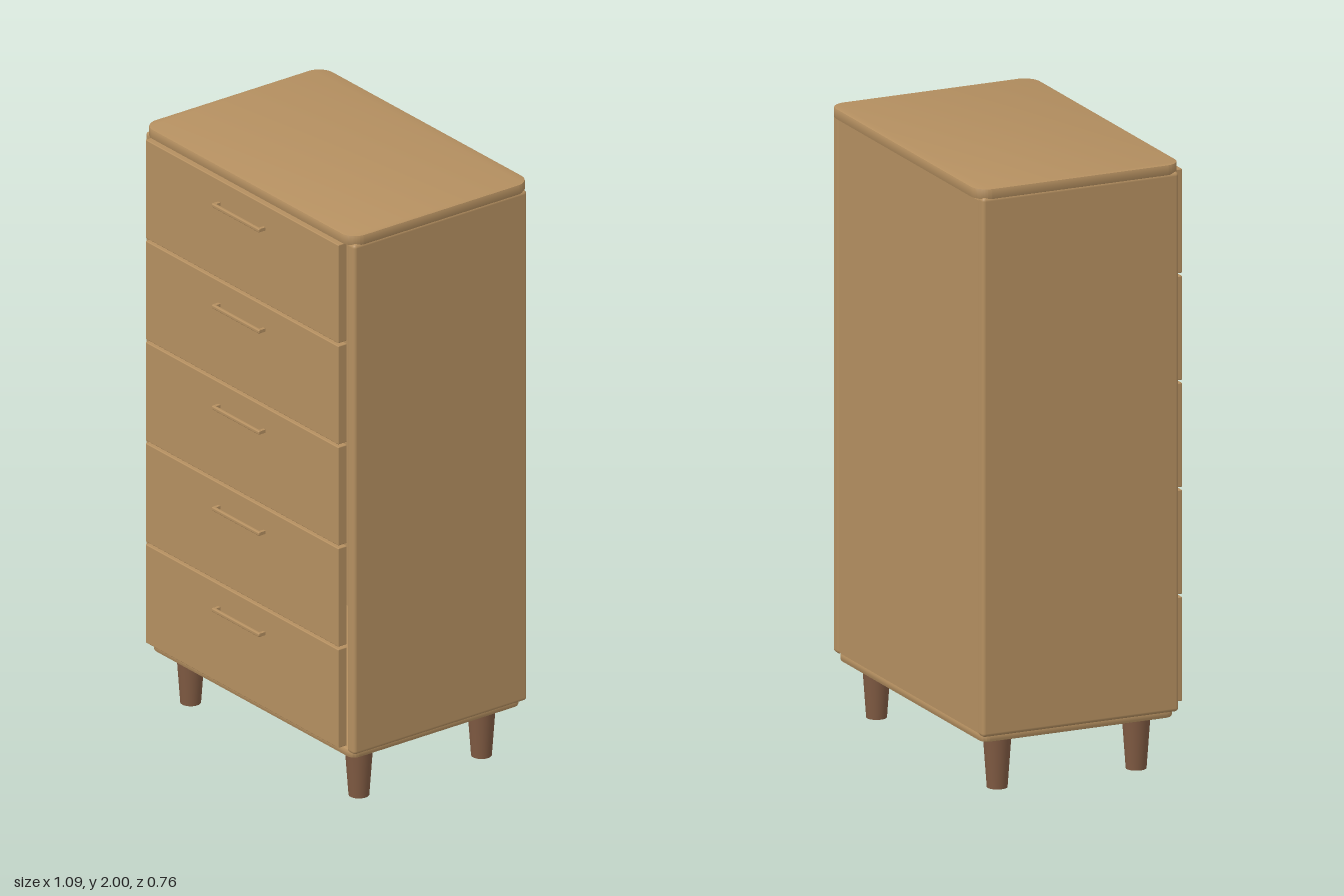
import * as THREE from 'three';
import { RoundedBoxGeometry } from 'three/addons/geometries/RoundedBoxGeometry.js';
import { toCreasedNormals } from 'three/addons/utils/BufferGeometryUtils.js';

const wood = new THREE.MeshStandardMaterial({ color: 0xb48f60 });
const darkWood = new THREE.MeshStandardMaterial({ color: 0x7f5a42 });

function add(parent, name, geometry, material, x = 0, y = 0, z = 0) {
  const mesh = new THREE.Mesh(geometry, material);
  mesh.name = name;
  mesh.position.set(x, y, z);
  parent.add(mesh);
  return mesh;
}

// Rounded box given by its minimum and maximum corners
function block(parent, name, [x0, y0, z0], [x1, y1, z1], radius) {
  const geometry = new RoundedBoxGeometry(x1 - x0, y1 - y0, z1 - z0, 3, radius);
  return add(parent, name, geometry, wood, (x0 + x1) / 2, (y0 + y1) / 2, (z0 + z1) / 2);
}

// Horizontal slab with rounded corners in plan and a small bevel
function slab(width, depth, height, radius, bevel) {
  const w = width / 2 - bevel, d = depth / 2 - bevel, r = radius - bevel;
  const s = new THREE.Shape();
  s.absarc(w - r, d - r, r, 0, Math.PI / 2);
  s.absarc(-w + r, d - r, r, Math.PI / 2, Math.PI);
  s.absarc(-w + r, -d + r, r, Math.PI, Math.PI * 1.5);
  s.absarc(w - r, -d + r, r, Math.PI * 1.5, Math.PI * 2);
  s.closePath();
  const geometry = new THREE.ExtrudeGeometry(s, {
    depth: height - 2 * bevel, bevelEnabled: true, bevelThickness: bevel,
    bevelSize: bevel, bevelSegments: 2, curveSegments: 10,
  });
  geometry.translate(0, 0, bevel).rotateX(-Math.PI / 2);
  return toCreasedNormals(geometry, 0.6);
}

export function createModel() {
  const chest = new THREE.Group();
  chest.name = 'chestOfDrawers';

  // Carcass
  add(chest, 'top', slab(1.086, 0.716, 0.034, 0.055, 0.003), wood, 0, 1.966, -0.025);
  add(chest, 'base', slab(1.05, 0.675, 0.028, 0.03, 0.008), wood, 0, 0.177, -0.022);
  block(chest, 'rightSide', [-0.543, 0.2, -0.367], [-0.502, 1.972, 0.322], 0.012);
  block(chest, 'leftSide', [0.502, 0.2, -0.367], [0.543, 1.972, 0.322], 0.012);
  add(chest, 'backPanel', new THREE.BoxGeometry(1.006, 1.75, 0.02), wood, 0, 1.08, -0.352);

  // Five drawers, each with a slim bar handle
  for (let i = 0; i < 5; i++) {
    const drawer = new THREE.Group();
    drawer.name = `drawer${i + 1}`;
    drawer.position.y = 0.22 + i * 0.3515;
    chest.add(drawer);
    block(drawer, 'drawerFront', [-0.5, 0, 0.318], [0.5, 0.342, 0.353], 0.003);
    add(drawer, 'handleBar', new RoundedBoxGeometry(0.246, 0.013, 0.012, 2, 0.004), wood, 0, 0.26, 0.374);
    for (const side of [-1, 1]) {
      add(drawer, 'handlePost', new THREE.BoxGeometry(0.011, 0.011, 0.026), wood, side * 0.117, 0.26, 0.362);
    }
  }

  // Tapered round legs
  const legGeometry = new THREE.CylinderGeometry(0.046, 0.033, 0.18, 32);
  for (const x of [-0.436, 0.436]) {
    for (const z of [-0.265, 0.222]) add(chest, 'leg', legGeometry, darkWood, x, 0.09, z);
  }
  return chest;
}
